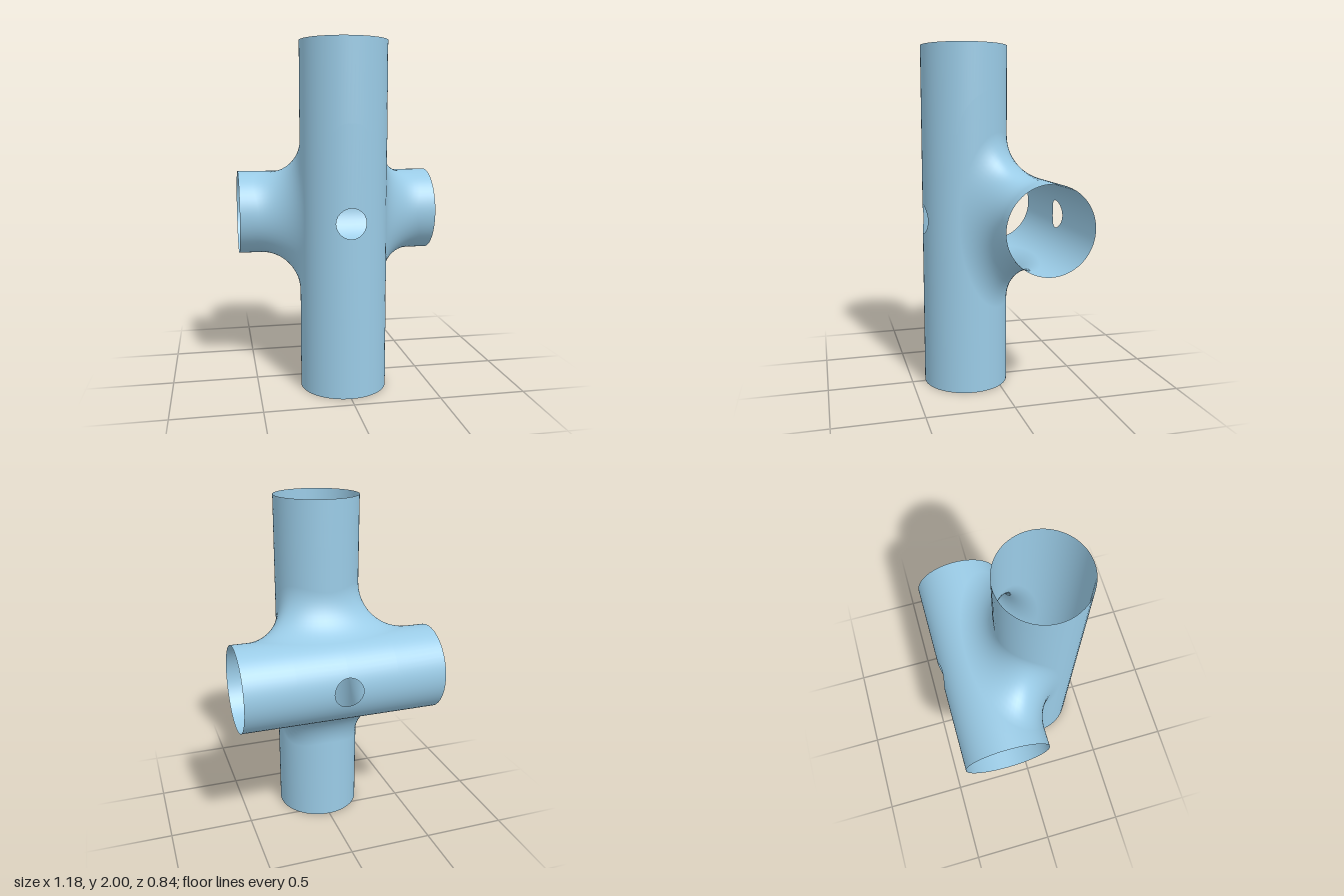
import * as THREE from 'three';

const R = 0.25;          // tube radius
const OFF = 0.17;        // each tube axis sits this far from the centre plane
const FILLET = 0.26;     // radius of the rounded blend
const HOLE = 0.085;      // radius of the drilled holes
const L = R + FILLET;    // blend centre to tube axis
const E = L - OFF;       // z reach of the blend centre path

const material = new THREE.MeshStandardMaterial({ color: 0x9acbe6, side: THREE.DoubleSide });

// Smooth surface from columns of { p, n } points, wound to agree with the normals
function loft(columns) {
  const rows = columns[0].length, pos = [], nor = [], index = [];
  for (const { p, n } of columns.flat()) {
    pos.push(...p.toArray());
    nor.push(...n.toArray());
  }
  const flat = columns.flat();
  const tri = (a, b, c) => {
    const ab = flat[b].p.clone().sub(flat[a].p), ac = flat[c].p.clone().sub(flat[a].p);
    if (ab.cross(ac).dot(flat[a].n) < 0) index.push(a, c, b);
    else index.push(a, b, c);
  };
  for (let i = 0; i < columns.length - 1; i++) {
    for (let j = 0; j < rows - 1; j++) {
      const a = i * rows + j, b = a + rows;
      tri(a, b, a + 1);
      tri(b, b + 1, a + 1);
    }
  }
  const geo = new THREE.BufferGeometry();
  geo.setAttribute('position', new THREE.Float32BufferAttribute(pos, 3));
  geo.setAttribute('normal', new THREE.Float32BufferAttribute(nor, 3));
  geo.setIndex(index);
  return geo;
}

// Closed path of the centre of a ball rolling in the groove between the tubes
function ballCentre(u) {
  const z = -E * Math.cos(2 * u);
  return new THREE.Vector3(
    Math.sin(u) * Math.sqrt(2 * E * (L + OFF - z)),
    Math.cos(u) * Math.sqrt(2 * E * (L + OFF + z)), z);
}

// Angles round a tube, with the height at which its wall starts there
function wallEdge() {
  const edge = [];
  // side trimmed by the blend
  for (let i = 0; i <= 48; i++) {
    const c = ballCentre(-Math.PI / 2 + Math.PI * i / 48);
    edge.push([Math.atan2(c.x, OFF - c.z), Math.max(0, c.y)]);
  }
  // plain side with the drilled hole in its middle
  const start = edge[48][0], holeAngle = Math.asin(HOLE / R);
  const plain = (a, b) => {
    for (let i = 1; i <= 8; i++) edge.push([a + (b - a) * i / 8, 0]);
  };
  plain(start, Math.PI - holeAngle);
  for (let i = 1; i < 12; i++) {
    const v = Math.PI * i / 12;
    edge.push([Math.PI - Math.asin(HOLE * Math.cos(v) / R), HOLE * Math.sin(v)]);
  }
  edge.push([Math.PI + holeAngle, 0]);
  plain(Math.PI + holeAngle, 2 * Math.PI - start);
  return edge;
}

// Open tube along y, in two mirrored halves
function tube(name, halfLength) {
  const group = new THREE.Group();
  group.name = name;
  for (const side of [1, -1]) {
    const columns = wallEdge().map(([angle, start]) => {
      const n = new THREE.Vector3(Math.sin(angle), 0, -Math.cos(angle));
      return [0, 0.5, 1].map((t) => ({
        p: new THREE.Vector3(R * n.x, side * (start + (halfLength - start) * t), OFF + R * n.z), n,
      }));
    });
    const half = new THREE.Mesh(loft(columns), material);
    half.name = name + (side > 0 ? 'HalfA' : 'HalfB');
    group.add(half);
  }
  return group;
}

// Concave blend: arcs swept between the contact points on both tubes
function blend() {
  const columns = [];
  for (let i = 0; i <= 96; i++) {
    const c = ballCentre(-Math.PI / 2 + 2 * Math.PI * i / 96);
    const toUpright = new THREE.Vector3(-c.x, 0, OFF - c.z).normalize();
    const toCross = new THREE.Vector3(0, -c.y, -OFF - c.z).normalize();
    const angle = toUpright.angleTo(toCross), column = [];
    for (let j = 0; j <= 12; j++) {
      const t = j / 12;
      const d = toUpright.clone().multiplyScalar(Math.sin((1 - t) * angle))
        .addScaledVector(toCross, Math.sin(t * angle)).normalize();
      column.push({ p: c.clone().addScaledVector(d, FILLET), n: d.negate() });
    }
    columns.push(column);
  }
  const mesh = new THREE.Mesh(loft(columns), material);
  mesh.name = 'filletBlend';
  return mesh;
}

export function createModel() {
  const model = new THREE.Group();
  model.name = 'crossedPipeJoint';
  const joint = new THREE.Group();
  joint.name = 'joint';
  joint.position.y = 1;

  // The cross tube is the upright turned half round the x = y diagonal
  const upright = tube('uprightTube', 1);
  const cross = tube('crossTube', 0.59);
  cross.quaternion.setFromAxisAngle(new THREE.Vector3(1, 1, 0).normalize(), Math.PI);

  joint.add(upright, cross, blend());
  model.add(joint);
  return model;
}
